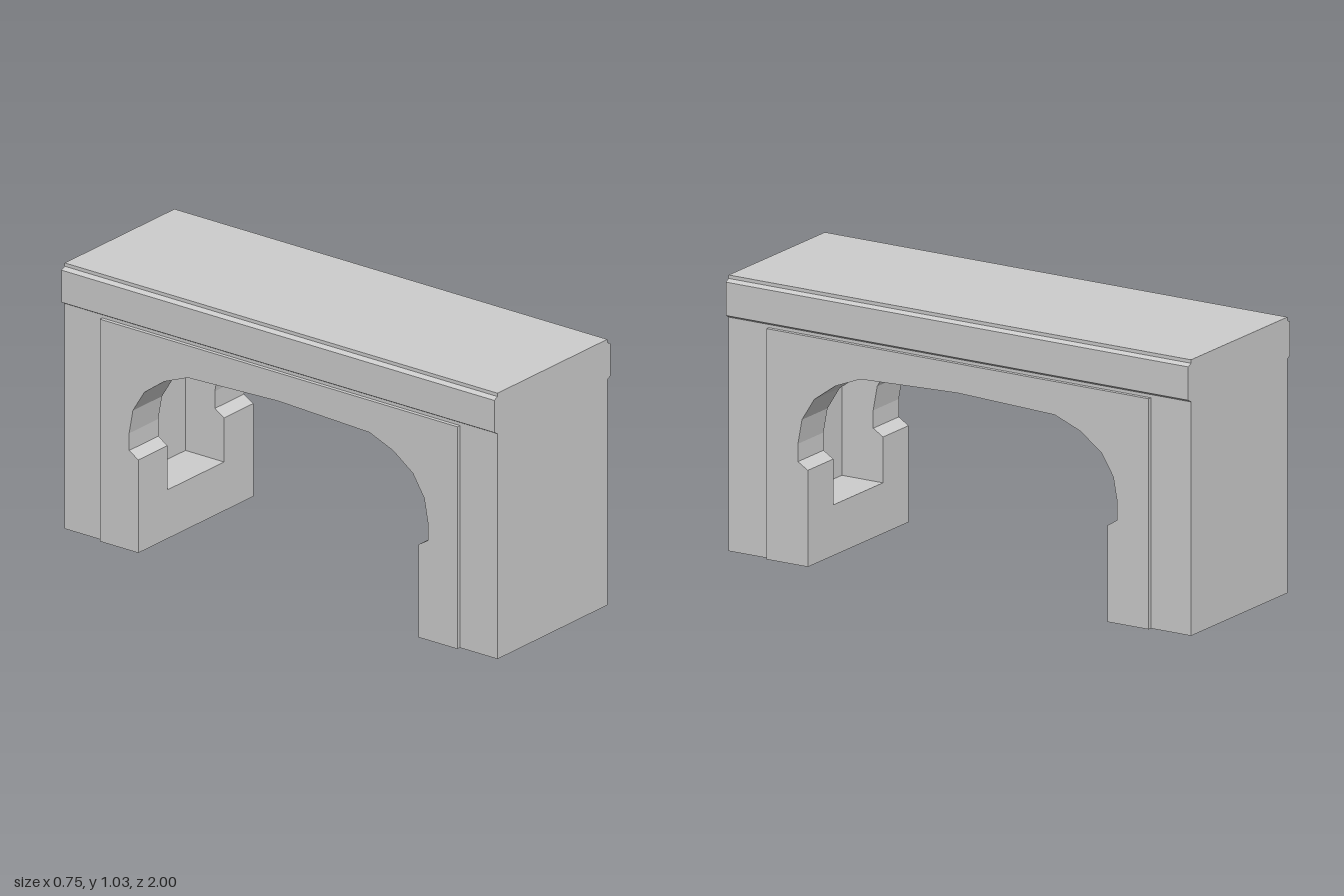
import * as THREE from 'three';

const HALF_LENGTH = 0.988, PANEL_END = 0.816, LEG = 0.64;
const PIER_X = 0.32, PANEL_X = 0.335, INNER_X = 0.165;
const CEILING = 0.8, LEDGE = 0.19, PANEL_TOP = 0.865;

const solid = new THREE.MeshStandardMaterial({ color: 0xcccccc, flatShading: true });
const shell = new THREE.MeshStandardMaterial({ color: 0xcccccc, flatShading: true, side: THREE.DoubleSide });

function addMesh(parent, name, geometry, material) {
  const mesh = new THREE.Mesh(geometry, material);
  mesh.name = name;
  parent.add(mesh);
  return mesh;
}

// Faces spanning x0..x1 along each [z, y] segment (solid lies to the left of the path)
function strip(path, x0, x1) {
  const pos = [];
  for (let i = 0; i + 1 < path.length; i++) {
    const [az, ay] = path[i], [bz, by] = path[i + 1];
    pos.push(x0, ay, az, x1, ay, az, x1, by, bz);
    pos.push(x0, ay, az, x1, by, bz, x0, by, bz);
  }
  const geometry = new THREE.BufferGeometry();
  geometry.setAttribute('position', new THREE.Float32BufferAttribute(pos, 3));
  geometry.computeVertexNormals();
  return geometry;
}

export function createModel() {
  const model = new THREE.Group();
  model.name = 'bridge';
  const body = new THREE.Group();
  body.name = 'bridgeBody';
  body.rotation.y = -0.0367;
  model.add(body);

  // Deck with a projecting chamfered band along both sides
  const half = [[PIER_X, CEILING], [PIER_X, 0.877], [0.339, 0.888], [0.339, 1.013], [PIER_X, 1.022], [PIER_X, 1.035]];
  const profile = [...half, ...half.map(([x, y]) => [-x, y]).reverse()];
  const deck = new THREE.ExtrudeGeometry(
    new THREE.Shape(profile.map(p => new THREE.Vector2(...p))),
    { depth: 2 * HALF_LENGTH, bevelEnabled: false });
  deck.translate(0, 0, -HALF_LENGTH);
  addMesh(body, 'deck', deck, solid);

  // Arch outline, half mirrored about z = 0
  const archHalf = [[LEG, 0], [LEG, 0.362], [0.682, 0.388], [0.682, 0.455], [0.665, 0.548],
    [0.613, 0.632], [0.523, 0.697], [0.415, 0.74]];
  const arch = [...archHalf.map(([z, y]) => [-z, y]), [0, 0.755], ...[...archHalf].reverse()];
  const rim = [[PANEL_END, 0], [PANEL_END, PANEL_TOP], [-PANEL_END, PANEL_TOP], [-PANEL_END, 0]];
  const wallShape = new THREE.Shape([...arch, ...rim].map(p => new THREE.Vector2(...p)));

  // Hollow side walls, open underneath
  for (const side of [1, -1]) {
    const wall = new THREE.Group();
    wall.name = side > 0 ? 'leftArchWall' : 'rightArchWall';
    body.add(wall);
    const face = () => new THREE.ShapeGeometry(wallShape).rotateY(side * Math.PI / 2);
    addMesh(wall, 'outerFace', face(), shell).position.x = side * PANEL_X;
    const inner = new THREE.ShapeGeometry(wallShape).rotateY(-side * Math.PI / 2);
    addMesh(wall, 'innerFace', inner, shell).position.x = side * INNER_X;
    const x0 = Math.min(side * INNER_X, side * PANEL_X);
    const x1 = Math.max(side * INNER_X, side * PANEL_X);
    addMesh(wall, 'archUnderside', strip(arch, x0, x1), shell);
    addMesh(wall, 'panelRim', strip(rim, x0, x1), shell);
  }

  // End piers and the low ledges between the walls
  for (const end of [1, -1]) {
    const depth = HALF_LENGTH - PANEL_END;
    const pier = addMesh(body, end > 0 ? 'frontPier' : 'backPier',
      new THREE.BoxGeometry(2 * PIER_X, CEILING, depth), solid);
    pier.position.set(0, CEILING / 2, end * (PANEL_END + depth / 2));

    const path = [[end * PANEL_END, LEDGE], [end * LEG, LEDGE], [end * LEG, 0]];
    if (end < 0) path.reverse();
    addMesh(body, end > 0 ? 'frontLedge' : 'backLedge', strip(path, -INNER_X, INNER_X), shell);
  }
  return model;
}
